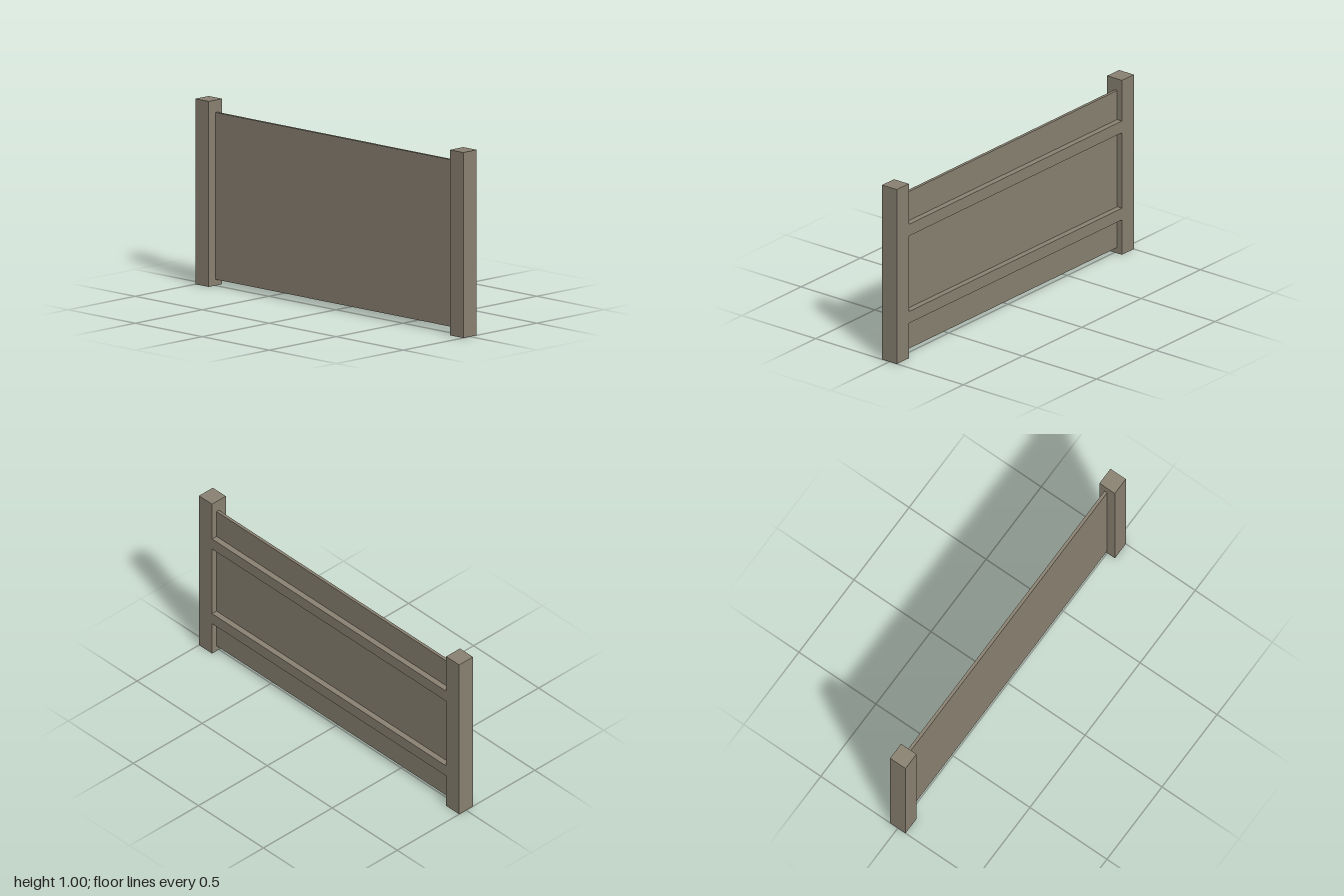
import * as THREE from 'three';

export function createModel() {
  const group = new THREE.Group();
  group.name = 'fencePanel';
  const wood = new THREE.MeshStandardMaterial({ color: 0x8a8272 });
  wood.name = 'weatheredWood';

  // Box given by its minimum and maximum corners
  function box(name, [x0, y0, z0], [x1, y1, z1]) {
    const mesh = new THREE.Mesh(new THREE.BoxGeometry(x1 - x0, y1 - y0, z1 - z0), wood);
    mesh.position.set((x0 + x1) / 2, (y0 + y1) / 2, (z0 + z1) / 2);
    mesh.name = name;
    group.add(mesh);
  }

  // Square end posts
  box('leftPost', [0.9, 0, -0.05], [1, 1, 0.05]);
  box('rightPost', [-1, 0, -0.05], [-0.9, 1, 0.05]);

  // Thin board between the posts
  box('panel', [-0.9, 0.033, -0.017], [0.9, 0.933, 0]);

  // Rails behind the board, flush with the backs of the posts
  box('lowerRail', [-0.9, 0.2, -0.05], [0.9, 0.267, -0.017]);
  box('upperRail', [-0.9, 0.7, -0.05], [0.9, 0.767, -0.017]);

  return group;
}
